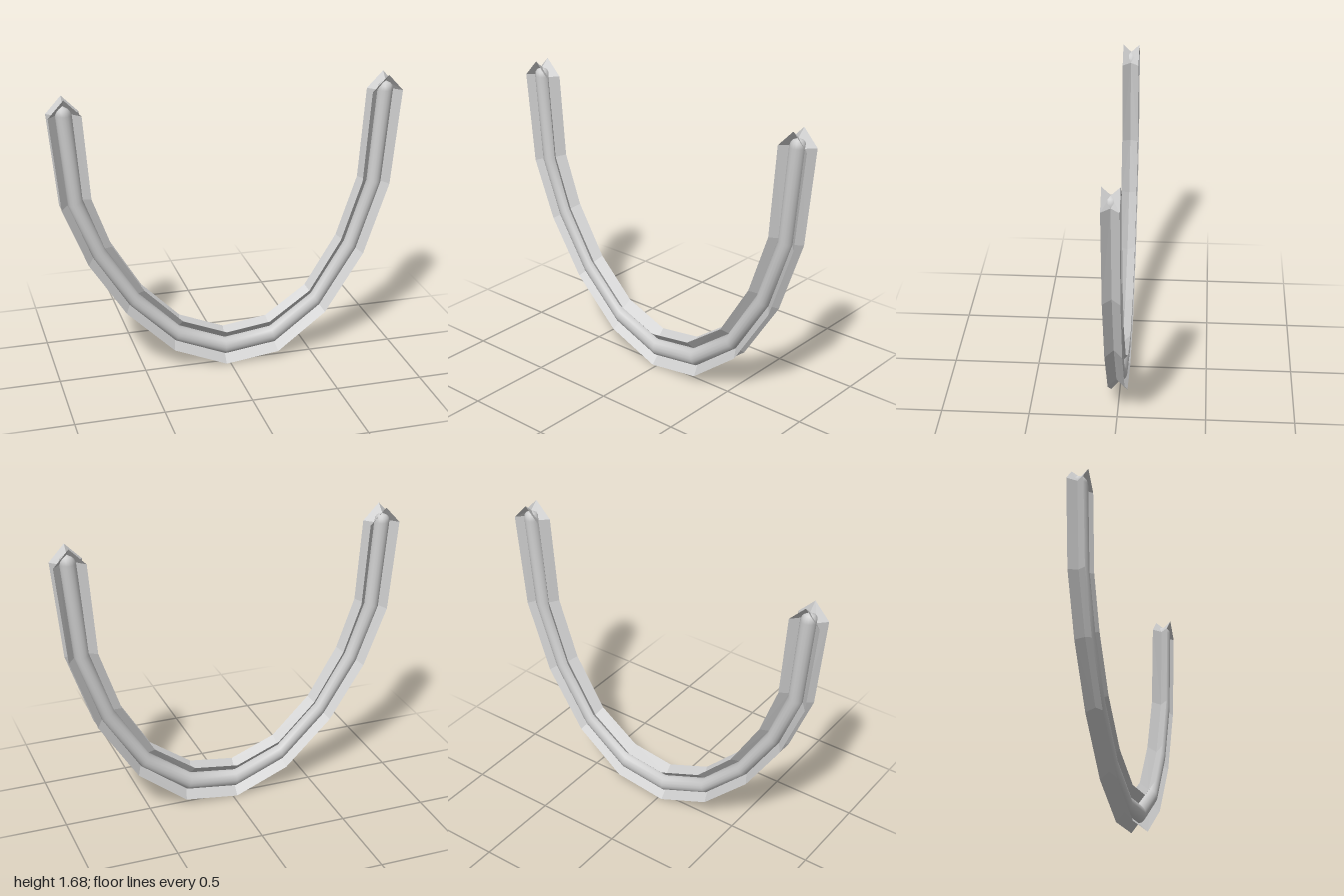
import * as THREE from 'three';

const DEPTH = 0.047; // half thickness of the flared rims
const SIDES = 16;

// Paired stations along the U: outer edge and inner edge
const outer = [[-1, 1.585], [-0.95, 1.06], [-0.815, 0.72], [-0.61, 0.4], [-0.335, 0.13], [-0.025, 0],
  [0.29, 0.04], [0.575, 0.26], [0.8, 0.61], [0.945, 1.03], [1, 1.585]];
const inner = [[-0.82, 1.585], [-0.785, 1.11], [-0.68, 0.82], [-0.505, 0.53], [-0.285, 0.31], [-0.025, 0.205],
  [0.235, 0.24], [0.475, 0.41], [0.66, 0.71], [0.78, 1.06], [0.82, 1.585]];
const TIP_X = 0.913, TIP_Y = 1.68, CORE_TIP_Y = 1.635;

const lerp = (a, b, t) => [a[0] + (b[0] - a[0]) * t, a[1] + (b[1] - a[1]) * t];

// Closed outline, inset towards the centre line by fraction t, with pointed ends
function outline(t, tipY) {
  const out = outer.map((p, i) => lerp(p, inner[i], t));
  const inn = inner.map((p, i) => lerp(p, outer[i], t)).reverse();
  return [...out, [TIP_X, tipY], ...inn, [-TIP_X, tipY]];
}

function makeGeometry(positions, index) {
  const g = new THREE.BufferGeometry();
  g.setAttribute('position', new THREE.Float32BufferAttribute(positions, 3));
  g.setIndex(index);
  g.computeVertexNormals();
  return g;
}

// Sloped rim from the core's seam (z = 0) out to the flared edge at z
function rimGeometry(z) {
  const edge = outline(0, TIP_Y), seam = outline(0.25, CORE_TIP_Y);
  const pos = [], idx = [], n = edge.length;
  for (let i = 0; i < n; i++) pos.push(...edge[i], z, ...seam[i], 0);
  for (let i = 0; i < n; i++) {
    const a = 2 * i, b = 2 * ((i + 1) % n);
    if (z > 0) idx.push(a, b, b + 1, a, b + 1, a + 1);
    else idx.push(a, b + 1, b, a, a + 1, b + 1);
  }
  return makeGeometry(pos, idx);
}

// Rounded core: elliptical rings along the U, closed by a small dome at each tip
function coreGeometry() {
  const rings = outer.map((p, i) => ({
    c: lerp(p, inner[i], 0.5),
    h: [(inner[i][0] - p[0]) / 4, (inner[i][1] - p[1]) / 4],
    r: 0.045
  }));
  const dome = (ring, sx) => [0.5, 0.8, 1].map((f) => {
    const s = f === 1 ? 0.001 : Math.sqrt(1 - f * f * 0.95);
    const y = ring.c[1] + (CORE_TIP_Y - ring.c[1]) * f;
    return { c: [sx * TIP_X, y], h: [ring.h[0] * s, 0], r: ring.r * s };
  });
  const all = [...dome(rings[0], -1).reverse(), ...rings, ...dome(rings[rings.length - 1], 1)];
  const pos = [], idx = [];
  for (const { c, h, r } of all) {
    for (let j = 0; j < SIDES; j++) {
      const a = (j / SIDES) * Math.PI * 2;
      pos.push(c[0] + h[0] * Math.cos(a), c[1] + h[1] * Math.cos(a), r * Math.sin(a));
    }
  }
  for (let i = 0; i < all.length - 1; i++) {
    for (let j = 0; j < SIDES; j++) {
      const k = (j + 1) % SIDES;
      const a = i * SIDES + j, b = i * SIDES + k, c = a + SIDES, d = b + SIDES;
      idx.push(a, c, b, b, c, d);
    }
  }
  return makeGeometry(pos, idx);
}

export function createModel() {
  const group = new THREE.Group();
  group.name = 'curvedBand';
  const rimMaterial = new THREE.MeshStandardMaterial({ color: 0xcccccc, flatShading: true, side: THREE.DoubleSide });
  const coreMaterial = new THREE.MeshStandardMaterial({ color: 0xcccccc, side: THREE.DoubleSide });
  const add = (name, geometry, material) => {
    const mesh = new THREE.Mesh(geometry, material);
    mesh.name = name;
    group.add(mesh);
  };
  add('frontRim', rimGeometry(DEPTH), rimMaterial);
  add('backRim', rimGeometry(-DEPTH), rimMaterial);
  add('roundedCore', coreGeometry(), coreMaterial);
  return group;
}
